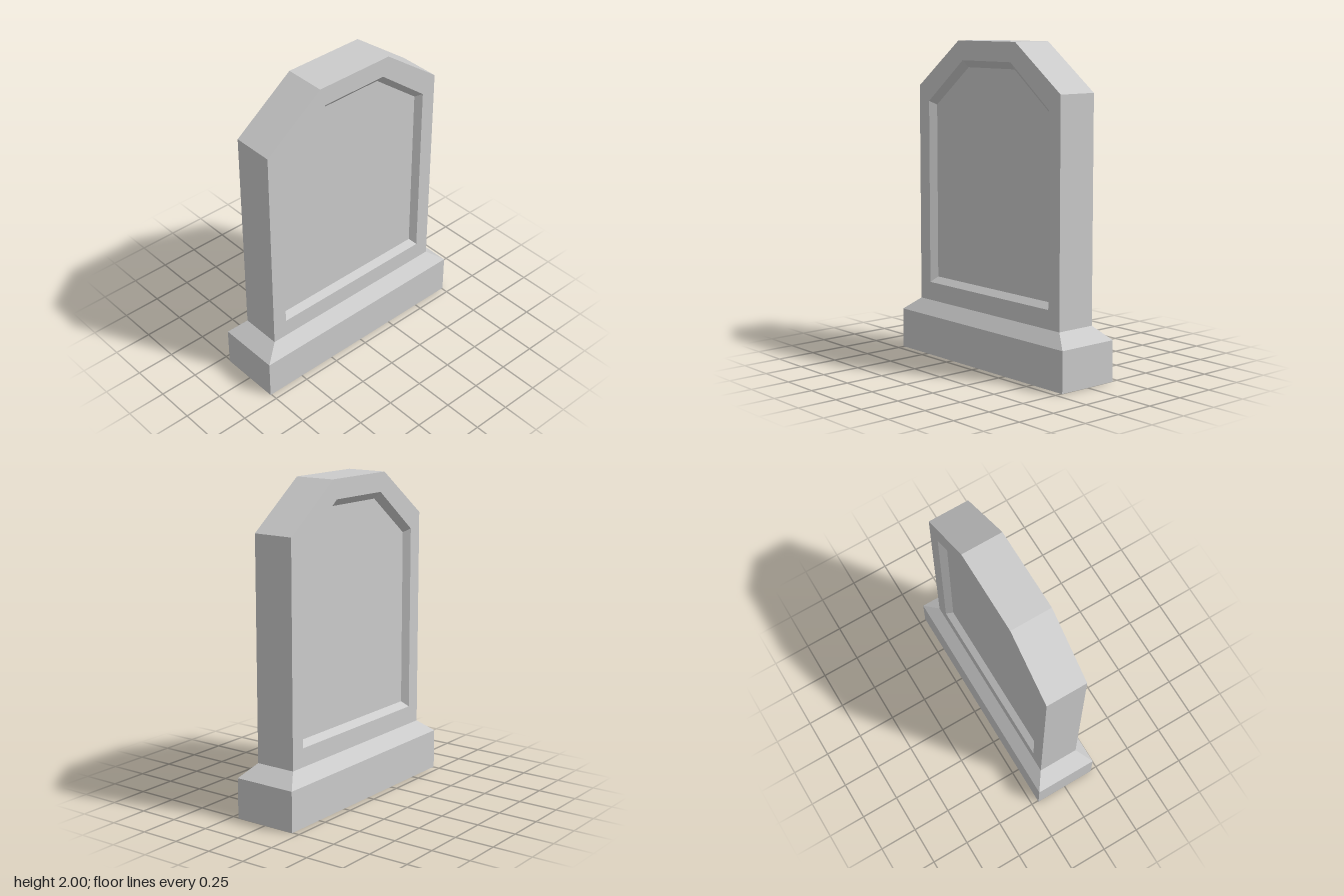
import * as THREE from 'three';

const stone = new THREE.MeshStandardMaterial({ color: 0xcccccc, flatShading: true, side: THREE.DoubleSide });

// Clipped-corner outline, counter-clockwise from the lower left
function outline(halfW, bottom, shoulder, top, halfTop) {
  return [
    [-halfW, bottom], [halfW, bottom], [halfW, shoulder],
    [halfTop, top], [-halfTop, top], [-halfW, shoulder],
  ].map(([x, y]) => new THREE.Vector2(x, y));
}

const atDepth = (pts, z) => pts.map((p) => new THREE.Vector3(p.x, p.y, z));

// Horizontal rectangle of corners at height y
function rectangle(w, d, y) {
  return [[-w, d], [w, d], [w, -d], [-w, -d]].map(([x, z]) => new THREE.Vector3(x, y, z));
}

// Quads joining consecutive rings; edges before `first` are left open
function loft(rings, first = 0) {
  const tris = [];
  for (let r = 0; r < rings.length - 1; r++) {
    const a = rings[r], b = rings[r + 1];
    for (let i = first; i < a.length; i++) {
      const j = (i + 1) % a.length;
      tris.push(a[i], b[i], a[j], a[j], b[i], b[j]);
    }
  }
  const geometry = new THREE.BufferGeometry().setFromPoints(tris);
  geometry.computeVertexNormals();
  return geometry;
}

function add(parent, name, geometry, z = 0) {
  const mesh = new THREE.Mesh(geometry, stone);
  mesh.name = name;
  mesh.position.z = z;
  parent.add(mesh);
}

export function createModel() {
  const group = new THREE.Group();
  group.name = 'headstone';

  const half = 0.132;   // half thickness of the slab
  const recess = 0.04;  // depth of the sunken panel
  const slab = outline(0.653, 0.333, 1.71, 2, 0.262);
  const rim = outline(0.558, 0.45, 1.615, 1.88, 0.222);
  const panel = outline(0.527, 0.485, 1.592, 1.837, 0.212);

  // Plinth with sloped shoulders, open underneath and into the slab
  add(group, 'plinth', loft([
    rectangle(0.653, half, 0.333),
    rectangle(0.757, 0.204, 0.253),
    rectangle(0.757, 0.204, 0),
  ]));

  // Sides and top of the slab
  add(group, 'slabEdge', loft([atDepth(slab, half), atDepth(slab, -half)], 1));

  // Matching front and back faces, each with a sunken panel
  for (const [name, turn] of [['frontFace', 0], ['backFace', Math.PI]]) {
    const face = new THREE.Group();
    face.name = name;
    face.rotation.y = turn;
    const border = new THREE.Shape(slab);
    border.holes.push(new THREE.Path(rim));
    add(face, 'border', new THREE.ShapeGeometry(border), half);
    add(face, 'panelBevel', loft([atDepth(panel, half - recess), atDepth(rim, half)]));
    add(face, 'sunkenPanel', new THREE.ShapeGeometry(new THREE.Shape(panel)), half - recess);
    group.add(face);
  }

  return group;
}
